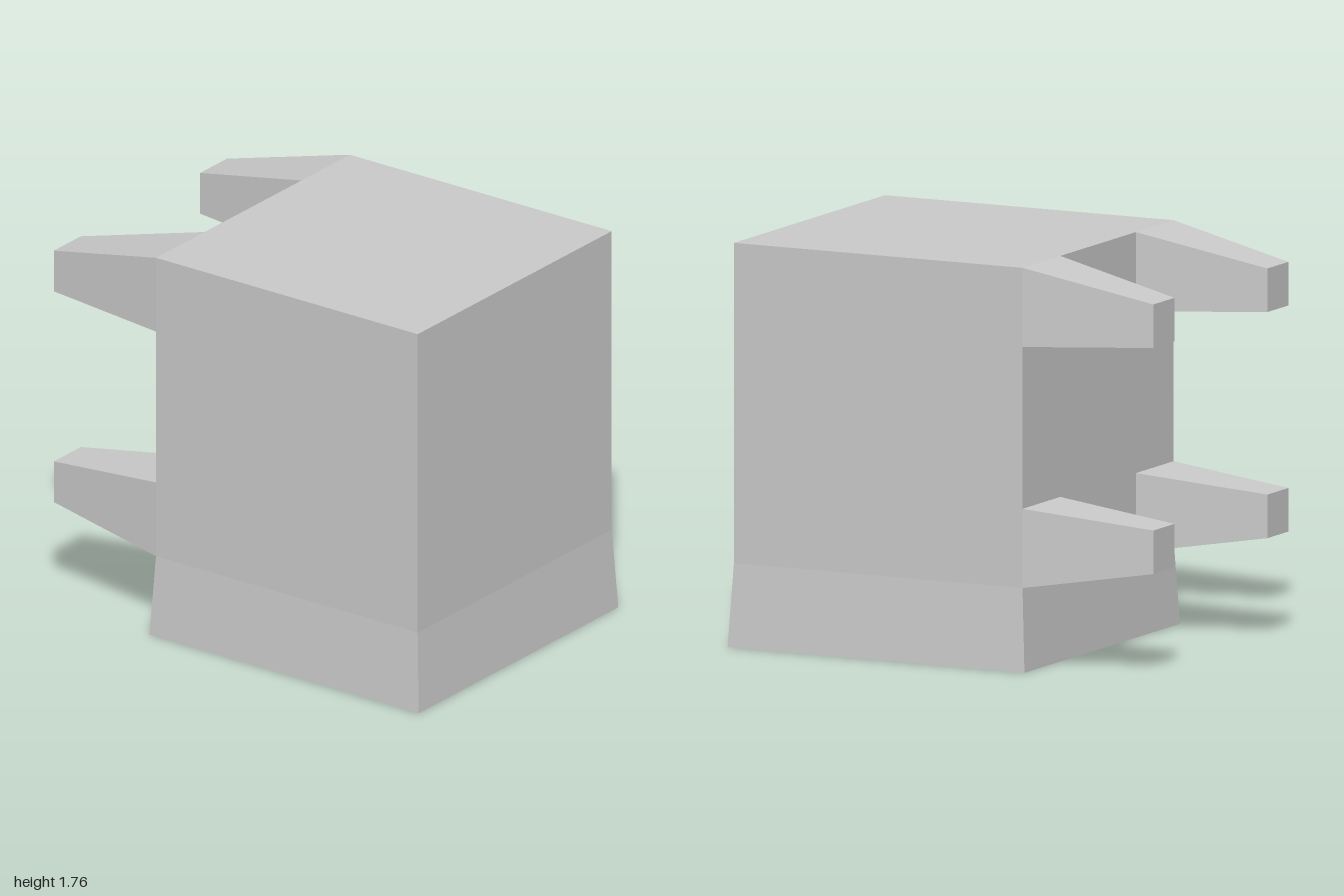
import * as THREE from 'three';

const material = new THREE.MeshStandardMaterial({ color: 0xcccccc, flatShading: true });

// Joins four-cornered rings into a solid, with optional end caps
function loft(rings, capStart, capEnd) {
  const pos = [];
  const quad = (a, b, c, d) => pos.push(...a, ...b, ...c, ...a, ...c, ...d);
  for (let r = 0; r < rings.length - 1; r++) {
    for (let i = 0; i < 4; i++) {
      const j = (i + 1) % 4;
      quad(rings[r][i], rings[r][j], rings[r + 1][j], rings[r + 1][i]);
    }
  }
  if (capStart) quad(...[...rings[0]].reverse());
  if (capEnd) quad(...rings[rings.length - 1]);
  const geo = new THREE.BufferGeometry();
  geo.setAttribute('position', new THREE.Float32BufferAttribute(pos, 3));
  geo.computeVertexNormals();
  return geo;
}

const levelRing = (x0, x1, z0, z1, y) => [[x0, y, z1], [x1, y, z1], [x1, y, z0], [x0, y, z0]];
const uprightRing = (x0, x1, y0, y1, z) => [[x1, y0, z], [x0, y0, z], [x0, y1, z], [x1, y1, z]];

export function createModel() {
  const model = new THREE.Group();
  const add = (name, geo) => {
    const mesh = new THREE.Mesh(geo, material);
    mesh.name = name;
    model.add(mesh);
  };

  // Body with a flared foot, open below
  add('body', loft([
    levelRing(-0.72, 0.72, -0.44, 1, 0),
    levelRing(-0.7, 0.7, -0.42, 0.98, 0.365),
    levelRing(-0.7, 0.7, -0.42, 0.98, 1.76),
  ], false, true));

  // Four tapering pegs on the back
  for (const [base, tip] of [[[-0.7, -0.35], [-0.655, -0.46]], [[0.35, 0.7], [0.4, 0.595]]]) {
    for (const [low, high, tipLow, tipHigh] of [[0.365, 0.71, 0.455, 0.645], [1.415, 1.76, 1.44, 1.63]]) {
      add(`${base[0] < 0 ? 'right' : 'left'}${low > 1 ? 'Upper' : 'Lower'}Peg`, loft([
        uprightRing(...base, low, high, -0.42),
        uprightRing(...tip, tipLow, tipHigh, -1),
      ], false, true));
    }
  }

  // Base plate with a comb-edged opening: eight slots along the front and back
  const thickness = 0.04, x0 = -0.355, pitch = 0.09, slot = 0.045, slots = 8;
  const x1 = x0 + (slots - 1) * pitch + slot;
  const zBack = -0.07, zFront = 0.63, tooth = 0.21;
  const comb = (zEnd, zTip) => {
    const points = [];
    for (let i = 0; i < slots; i++) {
      const x = x0 + i * pitch;
      if (i > 0) points.push(new THREE.Vector2(x, zTip));
      points.push(new THREE.Vector2(x, zEnd), new THREE.Vector2(x + slot, zEnd));
      if (i < slots - 1) points.push(new THREE.Vector2(x + slot, zTip));
    }
    return points;
  };
  const plate = new THREE.Shape([
    new THREE.Vector2(-0.72, -0.44), new THREE.Vector2(0.72, -0.44),
    new THREE.Vector2(0.72, 1), new THREE.Vector2(-0.72, 1),
  ]);
  plate.holes.push(new THREE.Path([
    ...comb(zBack, zBack + tooth),
    ...comb(zFront, zFront - tooth).reverse(),
  ]));
  const plateGeo = new THREE.ExtrudeGeometry(plate, { depth: thickness, bevelEnabled: false });
  plateGeo.rotateX(Math.PI / 2).translate(0, thickness, 0);
  // Pull the plate's upper rim in to stay inside the flared foot
  const p = plateGeo.attributes.position;
  for (let i = 0; i < p.count; i++) {
    if (p.getY(i) > thickness / 2 && Math.abs(p.getX(i)) > 0.7) {
      p.setX(i, p.getX(i) * 0.995);
      p.setZ(i, 0.28 + (p.getZ(i) - 0.28) * 0.995);
    }
  }
  plateGeo.computeVertexNormals();
  add('basePlate', plateGeo);

  // Cavity above the opening, faces turned inward
  add('cavity', loft([
    levelRing(x0, x1, zBack, zFront, 0.32),
    levelRing(x0, x1, zBack, zFront, thickness),
  ], true, false));

  return model;
}
